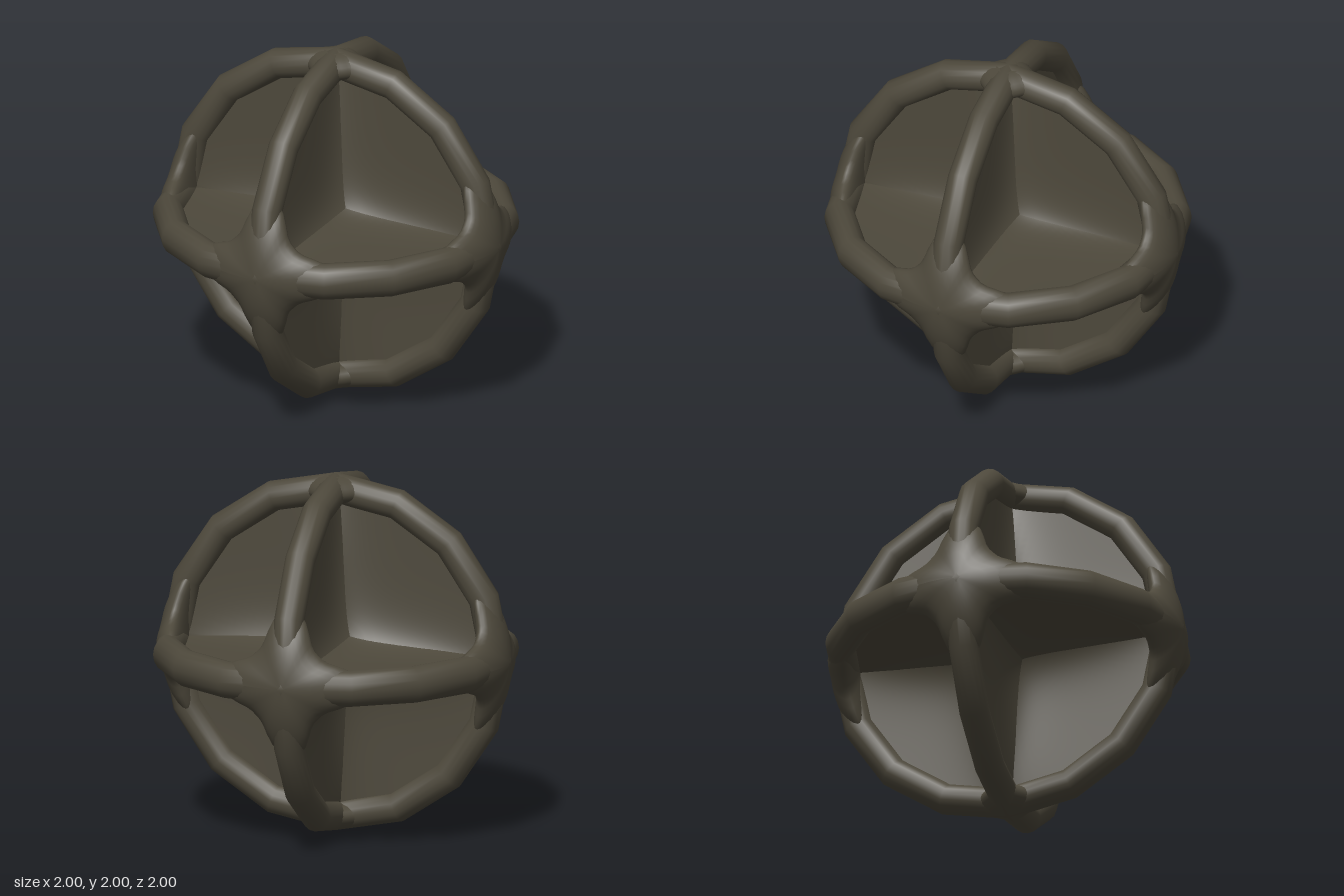
import * as THREE from 'three';

const HALF = Math.PI / 2;

// One face of a dividing wall: a disc that swells along the other walls, most of all near the centre
function wallGeometry() {
  const g = new THREE.RingGeometry(0.005, 0.885, 96, 20);
  const p = g.attributes.position;
  const swell = (across, along) => 0.17 * Math.exp(-across / 0.1) * Math.max(0, 1 - along / 0.95);
  for (let i = 0; i < p.count; i++) {
    const a = Math.abs(p.getX(i)), b = Math.abs(p.getY(i));
    p.setZ(i, 0.022 + swell(a, b) + swell(b, a));
  }
  g.computeVertexNormals();
  return g;
}

// Four-armed web that fillets the crossing of two rings, bent round the sphere
function jointGeometry(diagonal, arm, thickness) {
  const g = new THREE.SphereGeometry(1, 48, 16);
  g.rotateX(HALF);
  const p = g.attributes.position;
  for (let i = 0; i < p.count; i++) {
    const phi = Math.atan2(p.getY(i), p.getX(i));
    const r = diagonal + (arm - diagonal) * Math.abs(Math.cos(2 * phi)) ** 3;
    const x = p.getX(i) * r, y = p.getY(i) * r;
    p.setXYZ(i, x, y, Math.sqrt(0.912 ** 2 - x * x - y * y) + p.getZ(i) * thickness);
  }
  g.computeVertexNormals();
  return g;
}

export function createModel() {
  const model = new THREE.Group();
  const darkOlive = new THREE.MeshStandardMaterial({ color: 0x4d483b });
  darkOlive.name = 'dark olive';

  const add = (name, geometry, rx = 0, ry = 0) => {
    const mesh = new THREE.Mesh(geometry, darkOlive);
    mesh.name = name;
    mesh.rotation.set(rx, ry, 0);
    mesh.position.y = 1;
    model.add(mesh);
  };

  // Three crossing rings; the level one is a little thicker
  const ring = (width) => new THREE.TorusGeometry(0.915, 0.085, 16, 16).scale(1, 1, width / 0.085);
  add('frontRing', ring(0.082));
  add('sideRing', ring(0.082), 0, HALF);
  add('levelRing', ring(0.102), HALF);

  // Walls filling the rings, one face on each side
  const wall = wallGeometry();
  add('frontWall', wall);
  add('backWall', wall, 0, Math.PI);
  add('leftWall', wall, 0, HALF);
  add('rightWall', wall, 0, -HALF);
  add('upperWall', wall, -HALF);
  add('lowerWall', wall, HALF);

  // Broad joints round the equator, small ones at the poles
  const broad = jointGeometry(0.25, 0.42, 0.085);
  ['frontJoint', 'leftJoint', 'backJoint', 'rightJoint'].forEach((name, i) => add(name, broad, 0, i * HALF));
  const small = jointGeometry(0.15, 0.19, 0.08);
  add('topJoint', small, -HALF);
  add('bottomJoint', small, HALF);

  return model;
}
